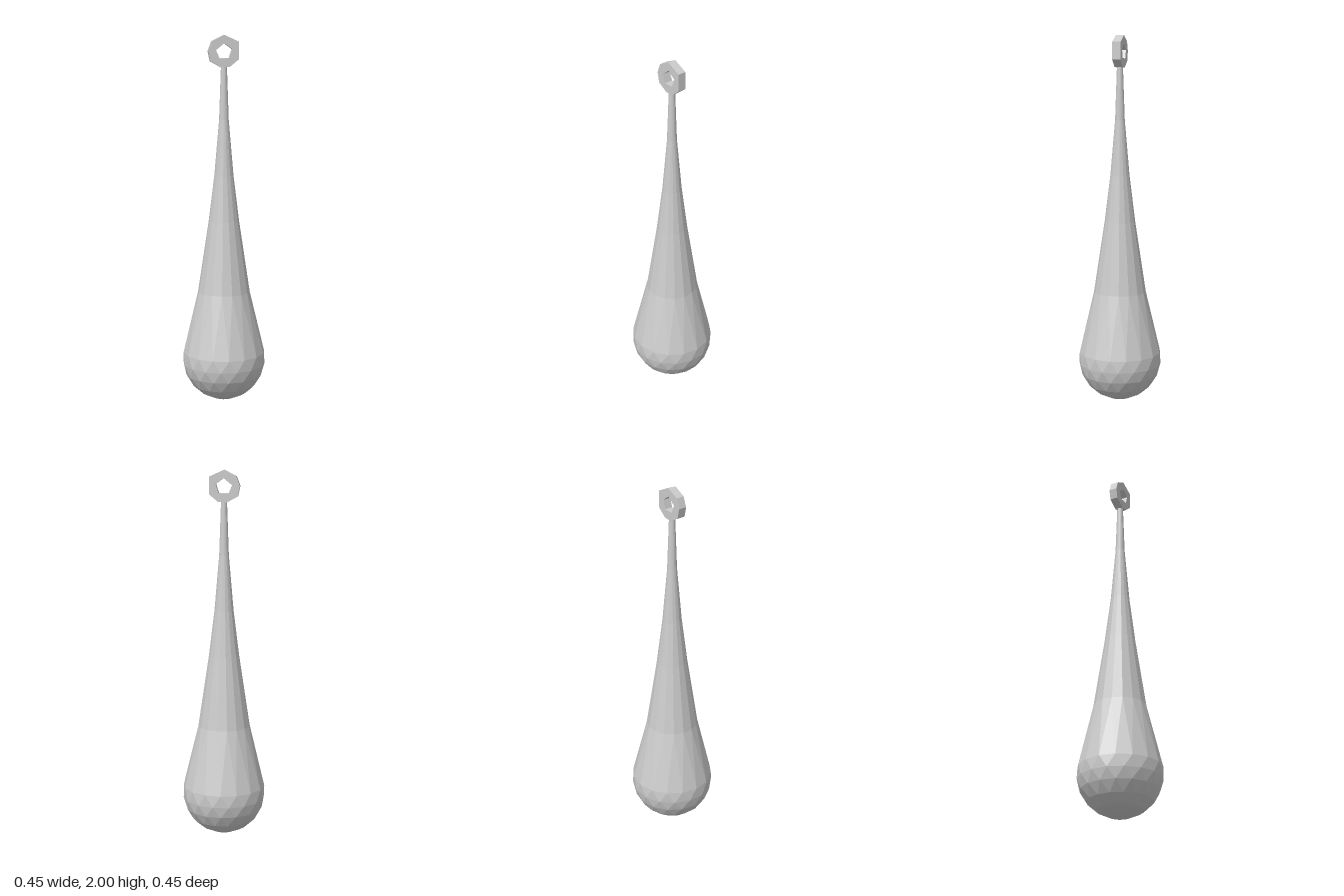
import * as THREE from 'three';

const material = new THREE.MeshStandardMaterial({ color: 0xcccccc, flatShading: true });
const toPoints = (list) => list.map(([x, y]) => new THREE.Vector2(x, y));

// Faceted teardrop; each row of the round end is turned half a facet to give triangles
function createBody() {
  const sides = 16;
  const profile = [
    [0, 0], [0.06, 0.01], [0.125, 0.04], [0.175, 0.085], [0.21, 0.145], [0.225, 0.205], [0.224, 0.27],
    [0.142, 0.61], [0.083, 1.0], [0.052, 1.25], [0.026, 1.55], [0.016, 1.84], [0, 1.84],
  ];
  const geometry = new THREE.LatheGeometry(toPoints(profile), sides);
  const position = geometry.attributes.position;
  const v = new THREE.Vector3();
  const up = new THREE.Vector3(0, 1, 0);
  for (let i = 0; i < position.count; i++) {
    const row = Math.min(i % profile.length, 7);
    v.fromBufferAttribute(position, i).applyAxisAngle(up, row * Math.PI / sides);
    position.setXYZ(i, v.x, v.y, v.z);
  }
  geometry.computeVertexNormals();
  const body = new THREE.Mesh(geometry, material);
  body.name = 'teardropBody';
  return body;
}

// Flat, slightly irregular ring with a five-sided hole
function createRing() {
  const depth = 0.045;
  const shape = new THREE.Shape(toPoints([
    [0, 2], [-0.066, 1.967], [-0.086, 1.915], [-0.074, 1.86], [-0.015, 1.828],
    [0.03, 1.832], [0.079, 1.872], [0.077, 1.965],
  ]));
  shape.holes.push(new THREE.Path(toPoints([
    [0, 1.956], [0.043, 1.925], [0.028, 1.878], [-0.026, 1.876], [-0.044, 1.92],
  ])));
  const geometry = new THREE.ExtrudeGeometry(shape, { depth, bevelEnabled: false });
  geometry.translate(0, 0, -depth / 2);
  const ring = new THREE.Mesh(geometry, material);
  ring.name = 'hangingRing';
  return ring;
}

export function createModel() {
  const model = new THREE.Group();
  model.name = 'teardropPendant';
  model.add(createBody(), createRing());
  return model;
}
